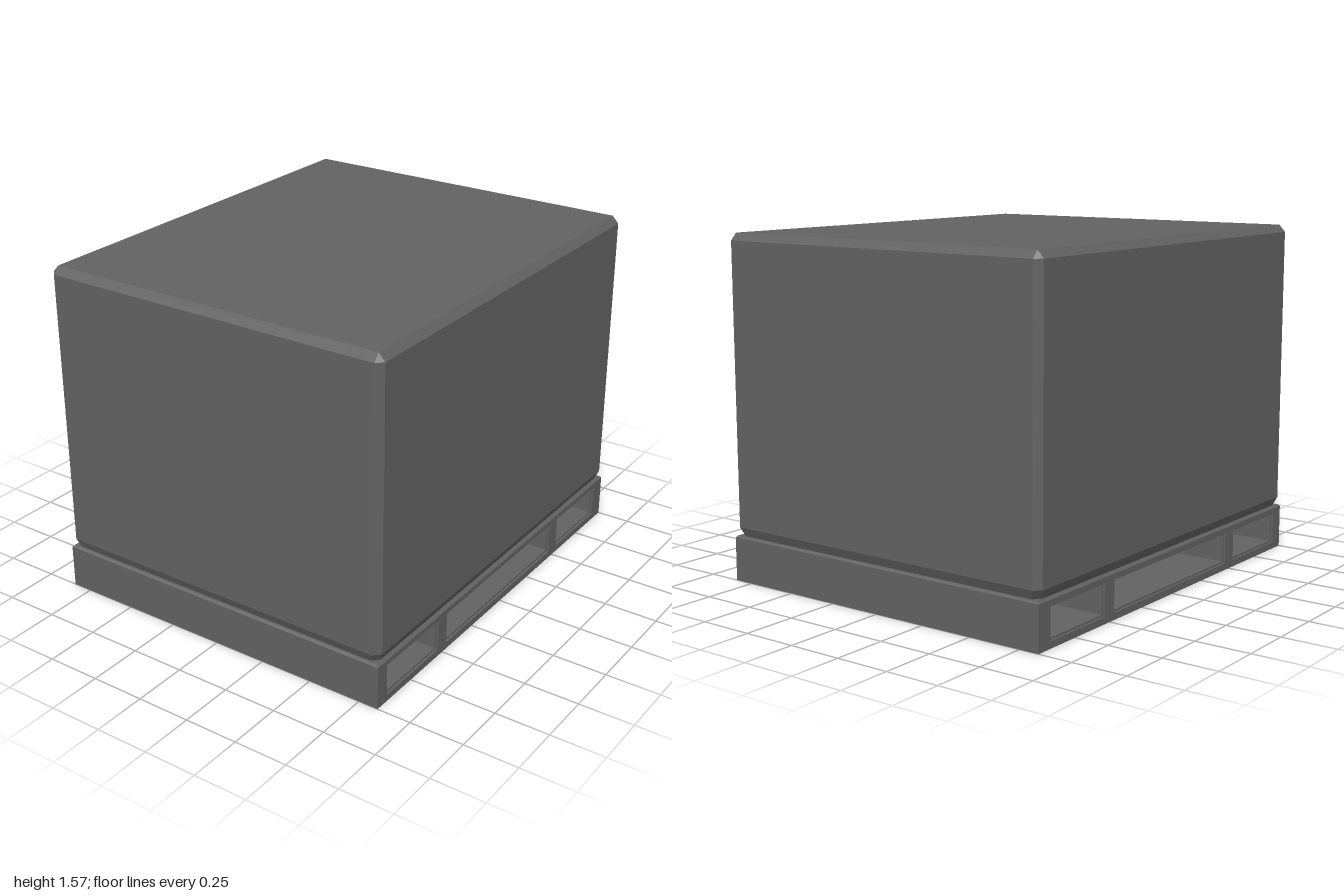
import * as THREE from 'three';
import { ConvexGeometry } from 'three/addons/geometries/ConvexGeometry.js';

const W = 0.843, D = 1; // half width and half depth
const WINDOWS = [[-0.92, -0.535], [-0.467, 0.467], [0.537, 0.932]]; // z ranges
const Y0 = 0.031, Y1 = 0.177; // fork opening heights
const T = 0.009; // channel wall thickness

export function createModel() {
  const group = new THREE.Group();
  const mat = new THREE.MeshStandardMaterial({ color: 0x626262, flatShading: true });

  const add = (name, geo, x = 0, y = 0, z = 0) => {
    const mesh = new THREE.Mesh(geo, mat);
    mesh.name = name;
    mesh.position.set(x, y, z);
    group.add(mesh);
  };
  const box = (name, halfX, y0, y1, z0, z1) => add(name,
    new THREE.BoxGeometry(halfX * 2, y1 - y0, z1 - z0),
    0, (y0 + y1) / 2, (z0 + z1) / 2);

  // Box with chamfers: each ring is [height, inset, corner cut]
  const chamferedBox = (rings) => {
    const pts = [];
    for (const [y, inset, cut] of rings)
      for (const sx of [-1, 1]) for (const sz of [-1, 1]) {
        const x = W - inset, z = D - inset;
        pts.push(new THREE.Vector3(sx * (x - cut), y, sz * z));
        if (cut > 0) pts.push(new THREE.Vector3(sx * x, y, sz * (z - cut)));
      }
    return new ConvexGeometry(pts);
  };

  // Wrapped load
  add('load', chamferedBox([[0.208, 0.018, 0.03], [0.25, 0, 0.03], [1.533, 0, 0.03], [1.566, 0.03, 0]]));

  // Pallet deck
  add('palletDeck', chamferedBox([[0.18, 0, 0], [0.2, 0, 0], [0.208, 0.008, 0]]));

  // Side frames with three fork openings each
  const toPoints = (pairs) => pairs.map(([x, y]) => new THREE.Vector2(x, y));
  const shape = new THREE.Shape(toPoints([[-D, 0], [D, 0], [D, 0.18], [-D, 0.18]]));
  // Shape x runs toward -z once the frame is turned
  for (const [a, b] of WINDOWS)
    shape.holes.push(new THREE.Path(toPoints([[-b, Y0], [-b, Y1], [-a, Y1], [-a, Y0]])));
  const frame = new THREE.ExtrudeGeometry(shape, { depth: 0.07, bevelEnabled: false });
  frame.rotateY(Math.PI / 2);
  add('rightFrame', frame, -W);
  add('leftFrame', frame, W - 0.07);

  // Closed front and back beams
  box('frontBeam', W - 0.07, 0, 0.18, 0.932, D);
  box('backBeam', W - 0.07, 0, 0.18, -D, -0.92);

  // Fork channels set just inside the openings, leaving slots between them
  const reach = W - 0.01;
  for (const [a, b] of WINDOWS) {
    box('channelFloor', reach, Y0, Y0 + T, a, b);
    box('channelCeiling', reach, Y1 - T, Y1, a, b);
    for (const z of [a, b - T])
      box('channelWall', reach, Y0 + T, Y1 - T, z, z + T);
  }
  return group;
}
